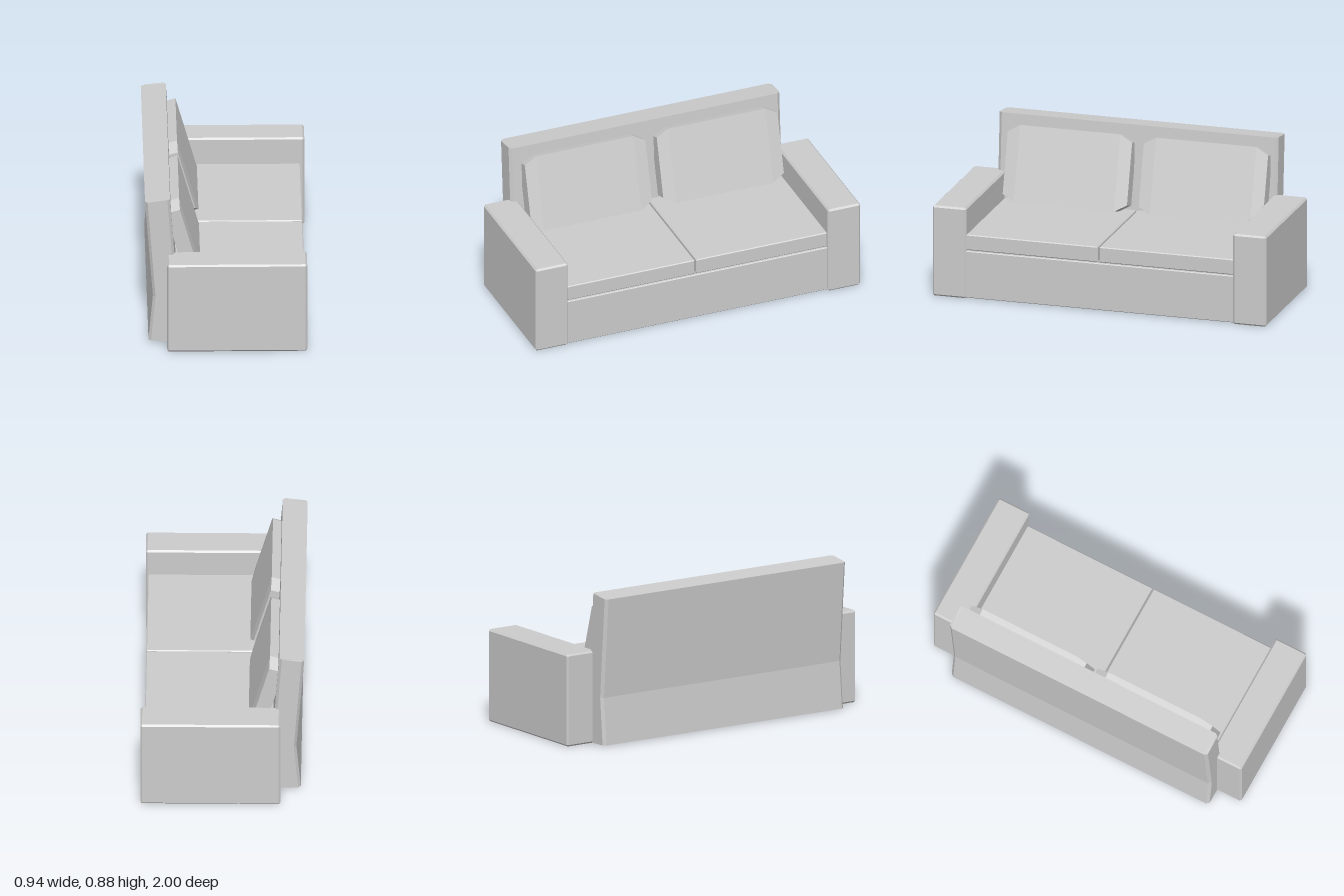
import * as THREE from 'three';
import { ConvexGeometry } from 'three/addons/geometries/ConvexGeometry.js';

const material = new THREE.MeshStandardMaterial({ color: 0xcccccc, flatShading: true });

function part(name, geometry, x = 0, y = 0, z = 0) {
  const mesh = new THREE.Mesh(geometry, material);
  mesh.name = name;
  mesh.position.set(x, y, z);
  return mesh;
}

// Box between two corners with all edges chamfered by c
function chamferBox(name, [x0, y0, z0], [x1, y1, z1], c) {
  const half = [(x1 - x0) / 2, (y1 - y0) / 2, (z1 - z0) / 2];
  const points = [];
  for (const sx of [-1, 1]) for (const sy of [-1, 1]) for (const sz of [-1, 1]) {
    for (let axis = 0; axis < 3; axis++) {
      const h = half.map((v, i) => (i === axis ? v : v - c));
      points.push(new THREE.Vector3(sx * h[0], sy * h[1], sz * h[2]));
    }
  }
  return part(name, new ConvexGeometry(points), (x0 + x1) / 2, (y0 + y1) / 2, (z0 + z1) / 2);
}

// Skin over rings { z, points: [[x, y], ...] }, counter-clockwise seen from +z, rising in z
function loft(rings) {
  const pos = [];
  const n = rings[0].points.length;
  const put = (r, i) => pos.push(...rings[r].points[i % n], rings[r].z);
  const last = rings.length - 1;
  for (let r = 0; r < last; r++) {
    for (let i = 0; i < n; i++) {
      put(r, i); put(r, i + 1); put(r + 1, i + 1);
      put(r, i); put(r + 1, i + 1); put(r + 1, i);
    }
  }
  for (let i = 1; i < n - 1; i++) {
    put(0, 0); put(0, i + 1); put(0, i);
    put(last, 0); put(last, i); put(last, i + 1);
  }
  const g = new THREE.BufferGeometry();
  g.setAttribute('position', new THREE.Float32BufferAttribute(pos, 3));
  g.computeVertexNormals();
  return g;
}

// Leaning backrest with a kink at seat height and chamfered ends
function backrest() {
  const profile = (inset) => [
    [-0.425 + inset, 0.28],
    [-0.45 + inset, 0.005],
    [-0.315 - inset, 0.002],
    [-0.283 - inset, 0.28],
    [-0.327 - inset, 0.88],
    [-0.47 + inset, 0.866],
  ];
  return part('backrest', loft([
    { z: -0.825, points: profile(0.015) },
    { z: -0.808, points: profile(0) },
    { z: 0.828, points: profile(0) },
    { z: 0.845, points: profile(0.015) },
  ]));
}

// Slightly puffed back cushion with cut corners, tilted backwards
function backCushion(name, z) {
  const rect = (d, h) => [[-d, -h], [d, -h], [d, h], [-d, h]];
  const mesh = part(name, loft([
    { z: -0.372, points: rect(0.042, 0.18) },
    { z: -0.3, points: rect(0.05, 0.222) },
    { z: 0.3, points: rect(0.05, 0.222) },
    { z: 0.372, points: rect(0.042, 0.18) },
  ]), -0.26, 0.604, z);
  mesh.rotation.z = THREE.MathUtils.degToRad(16);
  return mesh;
}

export function createModel() {
  const sofa = new THREE.Group();
  sofa.name = 'sofa';
  sofa.add(
    // Frame
    chamferBox('base', [-0.34, 0.003, -0.81], [0.445, 0.282, 0.81], 0.004),
    chamferBox('leftArm', [-0.335, 0, -1], [0.465, 0.54, -0.8], 0.01),
    chamferBox('rightArm', [-0.345, 0, 0.8], [0.455, 0.54, 1], 0.01),
    backrest(),
    // Seat cushions
    chamferBox('leftSeatCushion', [-0.35, 0.288, -0.803], [0.443, 0.38, 0.006], 0.005),
    chamferBox('rightSeatCushion', [-0.35, 0.288, 0.014], [0.443, 0.38, 0.803], 0.005),
    // Filler in the narrow gap under the seat cushions
    part('seatGapFiller', new THREE.BoxGeometry(0.76, 0.012, 1.6), 0.05, 0.285, 0),
    // Back cushions
    backCushion('leftBackCushion', -0.412),
    backCushion('rightBackCushion', 0.402),
  );
  return sofa;
}
